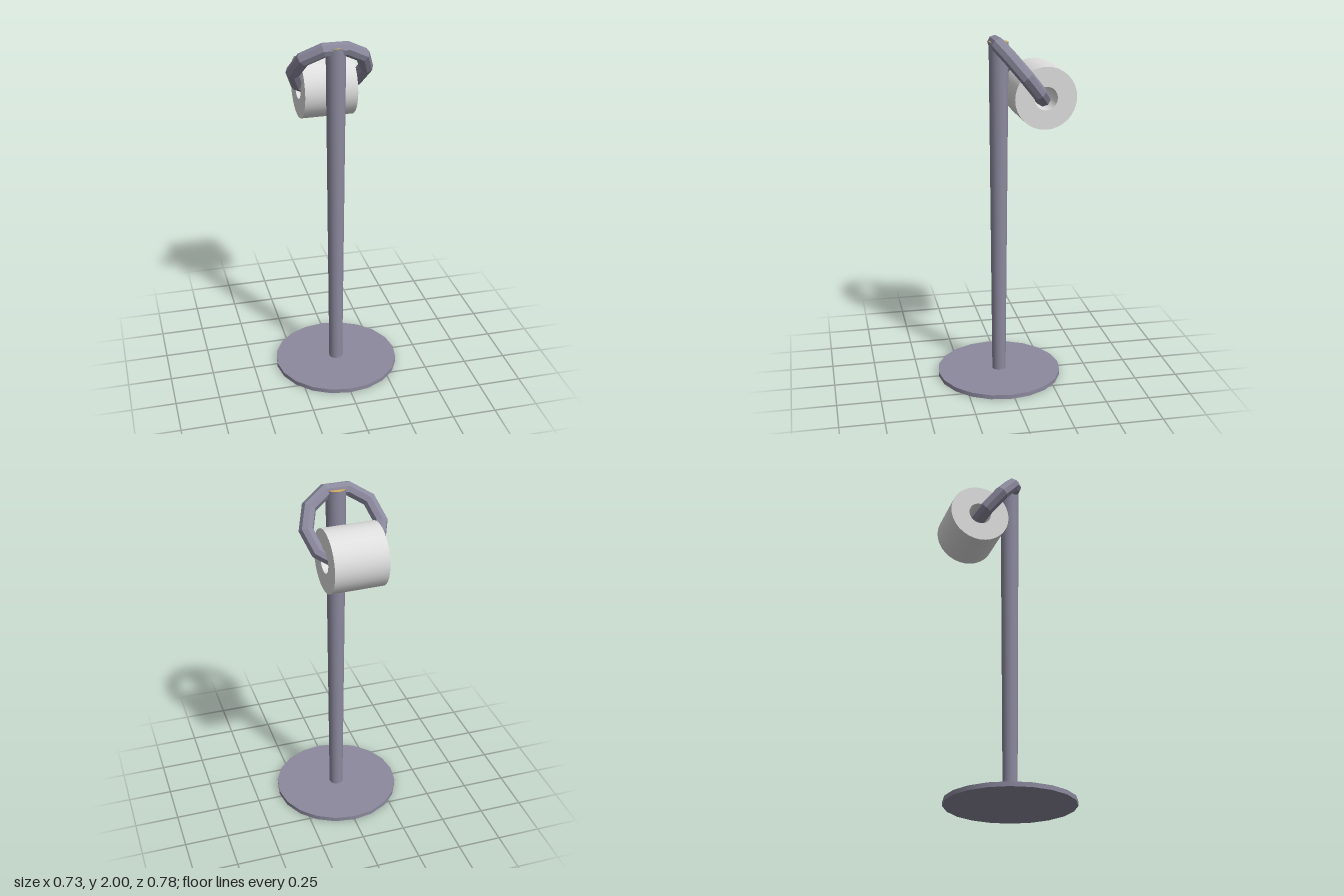
import * as THREE from 'three';

const material = (name, color, options = {}) => {
  const m = new THREE.MeshStandardMaterial({ color, ...options });
  m.name = name;
  return m;
};

export function createModel() {
  const model = new THREE.Group();
  model.name = 'rollStand';
  const metal = material('greyMetal', 0x8b899d);
  const facetedMetal = material('greyMetalFaceted', 0x8b899d, { flatShading: true });
  const paper = material('paper', 0xdedede);
  const gold = material('gold', 0xd2ad60);

  const add = (name, geometry, mat, x, y, z) => {
    const mesh = new THREE.Mesh(geometry, mat);
    mesh.name = name;
    mesh.position.set(x, y, z);
    model.add(mesh);
    return mesh;
  };

  // Thin round foot
  const footHeight = 0.025;
  add('base', new THREE.CylinderGeometry(0.363, 0.363, footHeight, 20), metal, 0, footHeight / 2, 0.024);

  // Pole widening towards its gold top face
  const poleTop = 1.975;
  const poleHeight = poleTop - footHeight / 2;
  add('pole', new THREE.CylinderGeometry(0.055, 0.04, poleHeight, 20),
    [metal, gold, metal], 0, poleTop - poleHeight / 2, 0.023);

  // Tilted ten-sided ring resting on the pole
  const ring = add('ring', new THREE.TorusGeometry(0.205, 0.041, 8, 10), facetedMetal, -0.006, 1.811, -0.092);
  ring.rotation.x = 0.69;

  // Hollow paper roll hanging on the ring; corners are doubled to stay sharp
  const half = 0.15, outer = 0.174, inner = 0.065;
  const corners = [[inner, -half], [outer, -half], [outer, half], [inner, half]];
  const roll = new THREE.Group();
  roll.name = 'paperRoll';
  ['rightEnd', 'outerSurface', 'leftEnd', 'innerSurface'].forEach((name, i) => {
    const edge = [corners[i], corners[(i + 1) % 4]].map(([r, h]) => new THREE.Vector2(r, h));
    const mesh = new THREE.Mesh(new THREE.LatheGeometry(edge, 32), paper);
    mesh.name = name;
    mesh.rotation.z = -Math.PI / 2;
    roll.add(mesh);
  });
  roll.position.set(-0.011, 1.68, -0.211);
  roll.rotation.y = 0.023;
  model.add(roll);

  return model;
}
